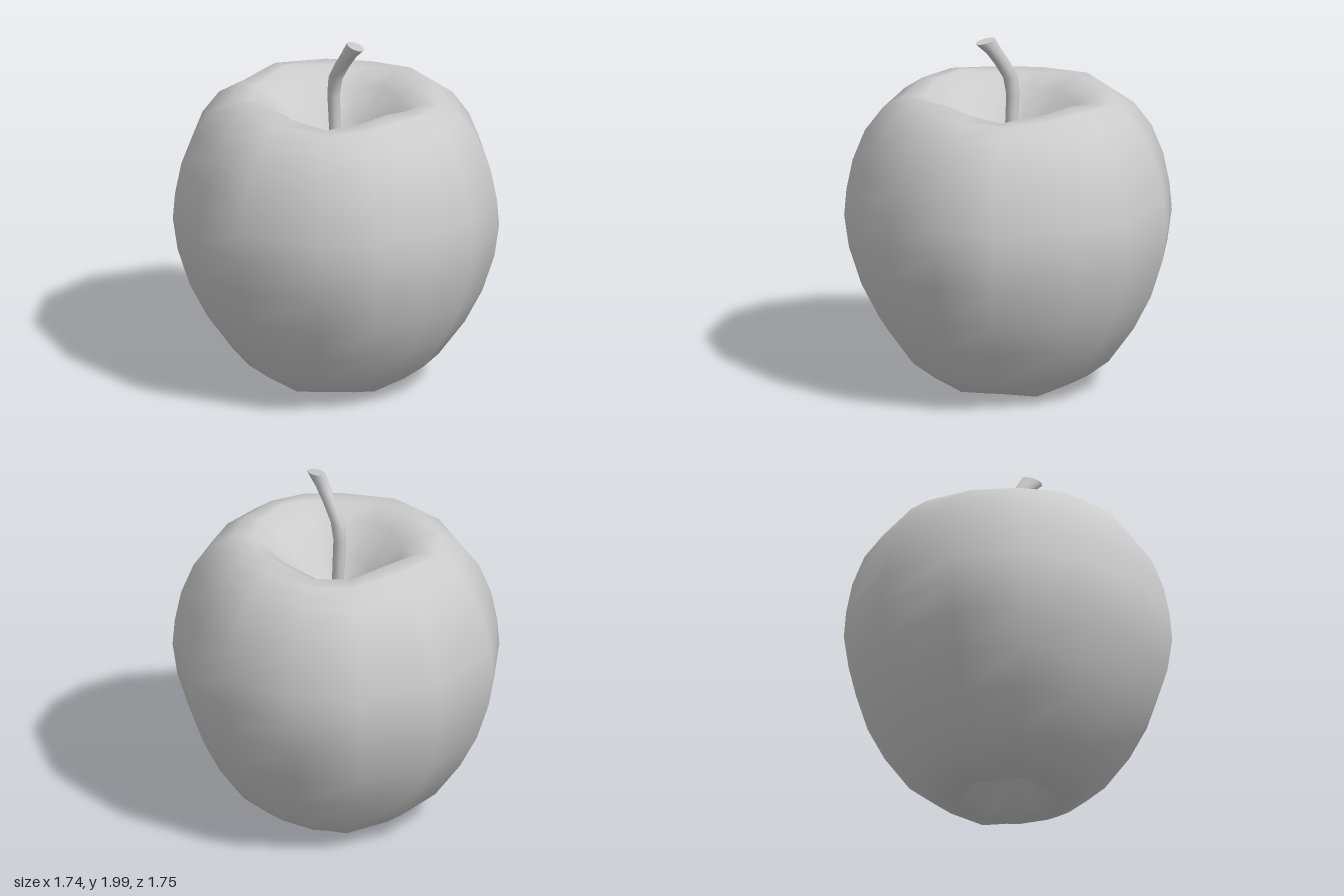
import * as THREE from 'three';
import { mergeVertices, toCreasedNormals } from 'three/addons/utils/BufferGeometryUtils.js';

// Skin closed rings of points (ordered counter-clockwise from above, bottom to top on the outside)
function loft(rings) {
  const n = rings[0].length;
  const index = [];
  for (let i = 0; i < rings.length - 1; i++) {
    for (let j = 0; j < n; j++) {
      const k = (j + 1) % n;
      const a = i * n + j, b = i * n + k, c = a + n, d = b + n;
      index.push(a, b, d, a, d, c);
    }
  }
  const geometry = new THREE.BufferGeometry().setFromPoints(rings.flat());
  geometry.setIndex(index);
  const merged = mergeVertices(geometry, 1e-4);
  merged.computeVertexNormals();
  return merged;
}

// Uneven columns around the fruit: [angle from the front in degrees, radius factor]
function fruitColumns() {
  const half = [
    [0, 1], [21.2, 1.017], [43.2, 1.034], [73.6, 1.013],
    [96.6, 1], [123.1, 1.024], [148.6, 1.03], [180, 1.005],
  ];
  const mirrored = half.slice(1, -1).reverse().map(([a, f]) => [360 - a, f]);
  return [...half, ...mirrored].map(([a, f]) => [THREE.MathUtils.degToRad(a), f]);
}

function fruitGeometry() {
  // Radius, height, weight of the five bottom lobes, weight of the rim wave
  const profile = [
    [0, 0.2, 0, 0], [0.08, 0.16, 0, 0], [0.18, 0.07, 0.02, 0],
    [0.26, 0.03, 0.02, 0], [0.35, 0.035, 0.015, 0], [0.43, 0.075, 0.005, 0],
    [0.55, 0.17, 0, 0], [0.69, 0.37, 0, 0], [0.785, 0.56, 0, 0],
    [0.85, 0.77, 0, 0], [0.875, 0.95, 0, 0], [0.863, 1.1, 0, 0],
    [0.83, 1.27, 0, 0], [0.765, 1.44, 0, 0], [0.67, 1.575, 0, 0.005],
    [0.56, 1.648, 0, 0.015], [0.46, 1.655, 0, 0.025], [0.35, 1.59, 0, 0.02],
    [0.21, 1.43, 0, 0.01], [0.09, 1.28, 0, 0], [0, 1.24, 0, 0],
  ];
  const columns = fruitColumns();
  return loft(profile.map(([r, y, lobe, wave]) => columns.map(([angle, f]) =>
    new THREE.Vector3(
      r * f * Math.sin(angle),
      y - lobe * Math.cos(5 * angle) + wave * Math.cos(4 * angle),
      r * f * Math.cos(angle)
    ))));
}

function stemGeometry() {
  // Level slices of the bent stem: height, z centre, half width in x, half width in z
  const slices = [
    [1.2, 0, 0.036, 0.036], [1.45, -0.012, 0.034, 0.034], [1.65, -0.025, 0.034, 0.038],
    [1.75, -0.008, 0.034, 0.045], [1.84, 0.05, 0.033, 0.05],
    [1.92, 0.112, 0.033, 0.054], [1.992, 0.175, 0.035, 0.066], [1.992, 0.175, 0, 0],
  ];
  const sides = 10;
  const geometry = loft(slices.map(([y, z, rx, rz], i) =>
    Array.from({ length: sides }, (_, j) => {
      const angle = (j / sides) * Math.PI * 2;
      const dz = rz * Math.cos(angle);
      const tilt = i === slices.length - 2 ? -0.12 * dz : 0;
      return new THREE.Vector3(rx * Math.sin(angle), y + tilt, z + dz);
    })));
  return toCreasedNormals(geometry, 0.85);
}

export function createModel() {
  const group = new THREE.Group();
  group.name = 'apple';
  const material = new THREE.MeshStandardMaterial({ color: 0xcccccc });

  // Fruit body with the hollow at the stem and the lobed base
  const fruit = new THREE.Mesh(fruitGeometry(), material);
  fruit.name = 'fruit';

  // Stem leaning to the front
  const stem = new THREE.Mesh(stemGeometry(), material);
  stem.name = 'stem';

  group.add(fruit, stem);
  return group;
}
